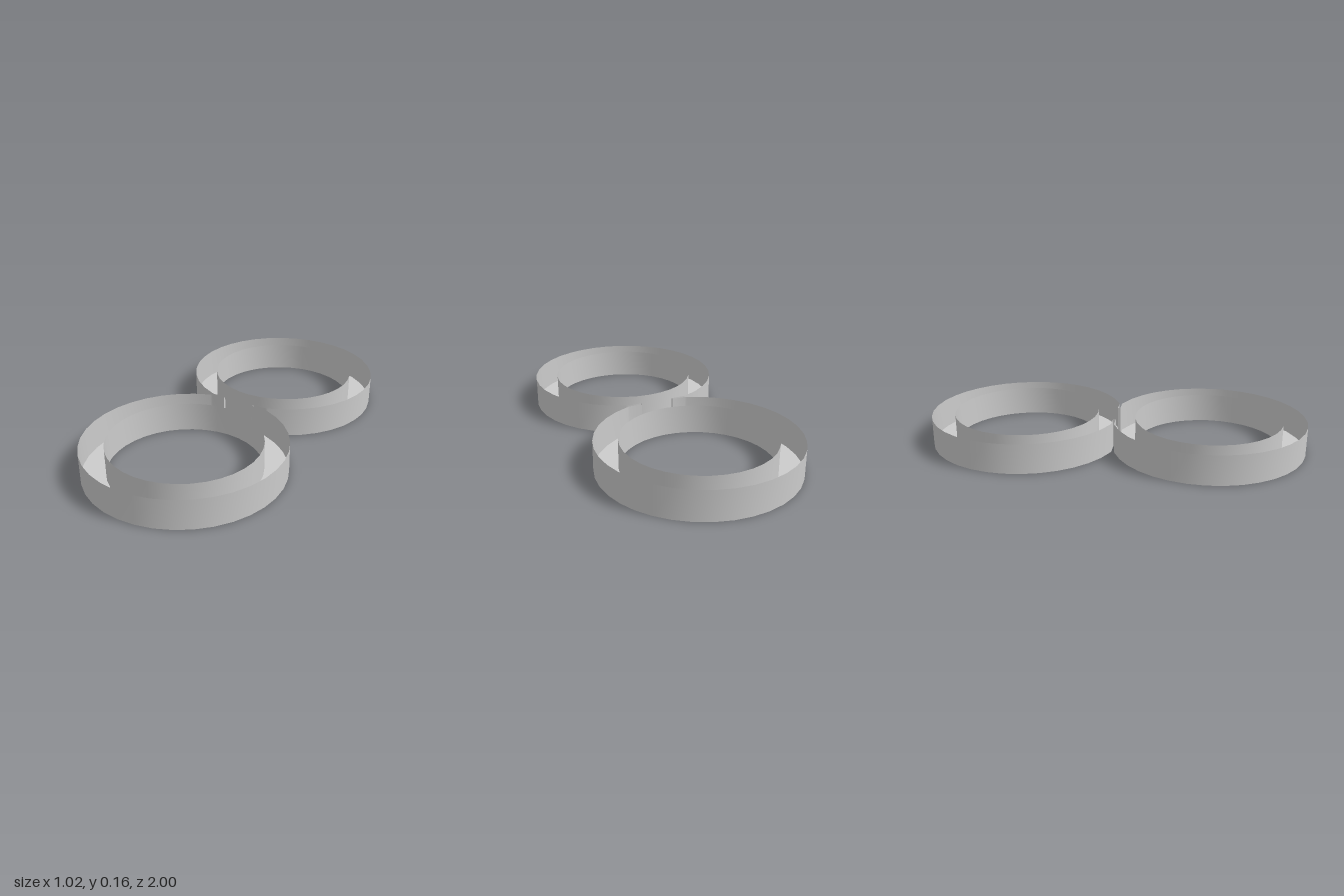
import * as THREE from 'three';
import { toCreasedNormals } from 'three/addons/utils/BufferGeometryUtils.js';

const HEIGHT = 0.155, CENTRE = 0.49, OUTER = 0.51, INNER = 0.388, SEGMENTS = 36;
const NECK = 0.09, SLIT = 0.007; // half widths of the joint and of the slits beside it

// points on a circle around (0, cy), angles in degrees
function arc(cy, r, from, to) {
  const points = [];
  for (let a = from; a <= to; a += 360 / SEGMENTS) {
    const t = THREE.MathUtils.degToRad(a);
    points.push(new THREE.Vector2(r * Math.cos(t), cy + r * Math.sin(t)));
  }
  return points;
}

// thin upright wall along a closed plan outline (plan y points to -z)
function wallGeometry(points) {
  const positions = [];
  points.forEach((a, i) => {
    const b = points[(i + 1) % points.length];
    const a0 = [a.x, 0, -a.y], b0 = [b.x, 0, -b.y];
    const a1 = [a.x, HEIGHT, -a.y], b1 = [b.x, HEIGHT, -b.y];
    positions.push(...a0, ...b0, ...b1, ...a0, ...b1, ...a1);
  });
  const geometry = new THREE.BufferGeometry();
  geometry.setAttribute('position', new THREE.Float32BufferAttribute(positions, 3));
  geometry.computeVertexNormals();
  return toCreasedNormals(geometry, 0.6);
}

export function createModel() {
  const group = new THREE.Group();
  const material = new THREE.MeshStandardMaterial({ color: 0xcccccc, side: THREE.DoubleSide });
  const add = (name, geometry) => {
    const mesh = new THREE.Mesh(geometry, material);
    mesh.name = name;
    group.add(mesh);
  };

  // figure-eight outline: one lobe, then the same lobe turned half round
  const cutX = Math.sqrt(OUTER ** 2 - (CENTRE - SLIT) ** 2);
  const lobe = [
    new THREE.Vector2(NECK, SLIT),
    new THREE.Vector2(cutX, SLIT),
    ...arc(CENTRE, OUTER, -70, 250),
    new THREE.Vector2(-cutX, SLIT),
    new THREE.Vector2(-NECK, SLIT),
  ];
  const outline = [...lobe, ...lobe.map((p) => p.clone().negate())];
  const holes = [arc(CENTRE, INNER, 0, 350), arc(-CENTRE, INNER, 0, 350)];

  // trough floor with two round openings
  const shape = new THREE.Shape(outline);
  holes.forEach((points) => shape.holes.push(new THREE.Path(points)));
  add('floor', new THREE.ShapeGeometry(shape).rotateX(-Math.PI / 2));

  // walls, open at the top
  add('outerWall', wallGeometry(outline));
  add('backInnerWall', wallGeometry(holes[0]));
  add('frontInnerWall', wallGeometry(holes[1]));
  return group;
}
